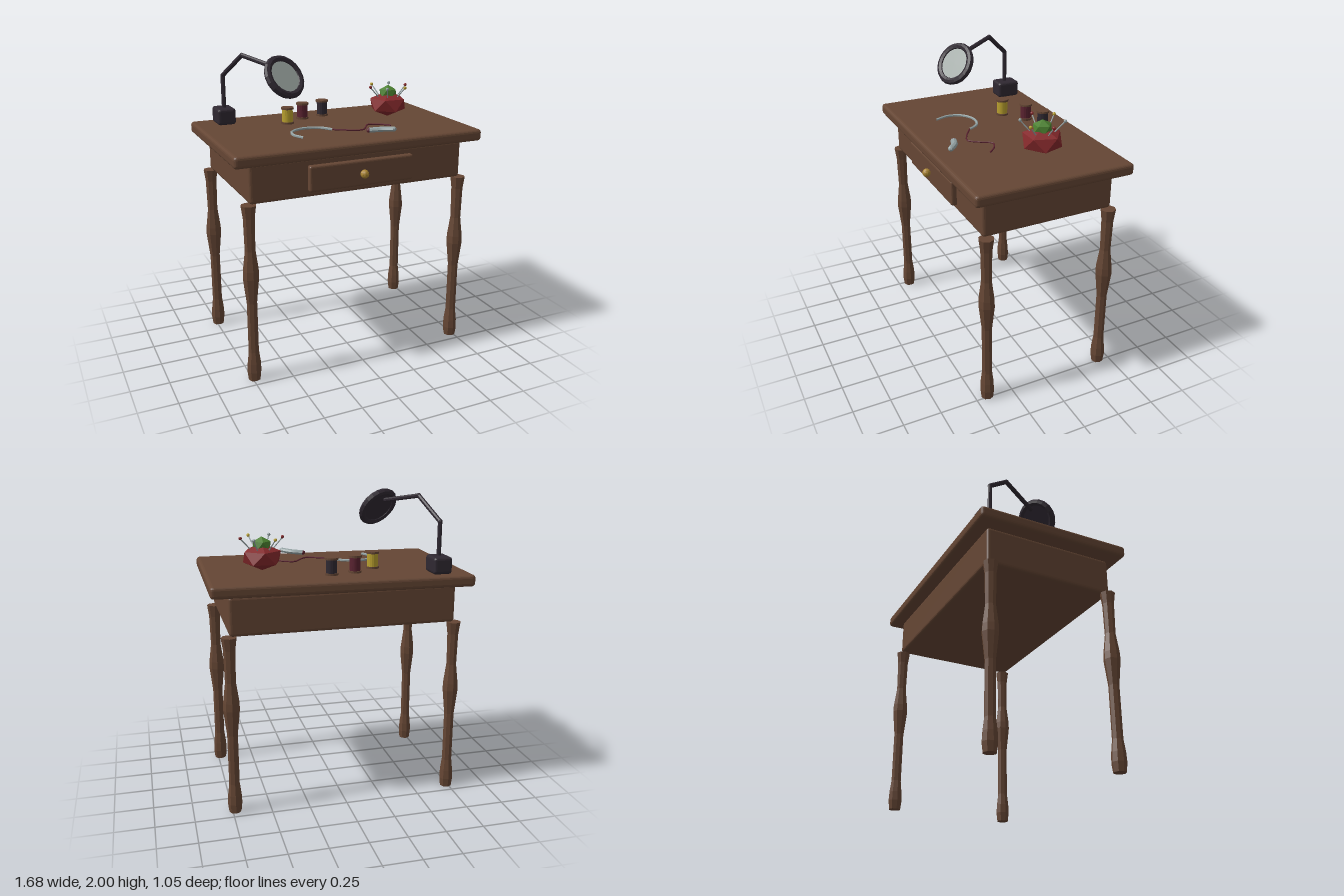
import * as THREE from 'three';
import { RoundedBoxGeometry } from 'three/addons/geometries/RoundedBoxGeometry.js';

const V = (x, y, z) => new THREE.Vector3(x, y, z);

function material(name, color, flat = true) {
  const m = new THREE.MeshStandardMaterial({ color, flatShading: flat });
  m.name = name;
  return m;
}

// Low-poly ball with a vertex at each pole
function facetedBall(rx, ry) {
  const g = new THREE.IcosahedronGeometry(1, 0);
  g.rotateZ(-Math.atan(2 / (1 + Math.sqrt(5))));
  g.rotateY(Math.PI / 2);
  return g.scale(rx, ry, rx);
}

export function createModel() {
  const model = new THREE.Group();
  model.name = 'sewingTable';
  const mats = {
    wood: material('wood', 0x654634),
    brass: material('brass', 0xa98432),
    charcoal: material('charcoal', 0x2f2831),
    glass: material('glass', 0x9ca5a1),
    steel: material('steel', 0x93a1a2),
    red: material('red fabric', 0x84282b),
    green: material('green leaf', 0x4b8030),
    yellow: material('yellow thread', 0xb9a02e),
    maroon: material('maroon thread', 0x5a2230),
  };

  function add(name, geo, mat, x = 0, y = 0, z = 0, parent = model) {
    const m = new THREE.Mesh(geo, mat);
    m.name = name;
    m.position.set(x, y, z);
    parent.add(m);
    return m;
  }
  function rod(name, a, b, r, mat, parent = model) {
    const d = b.clone().sub(a);
    const m = add(name, new THREE.CylinderGeometry(r, r, d.length(), 8), mat, 0, 0, 0, parent);
    m.position.copy(a).add(b).multiplyScalar(0.5);
    m.quaternion.setFromUnitVectors(V(0, 1, 0), d.normalize());
    return m;
  }
  function tube(name, pts, r, mat, sides = 6) {
    const curve = new THREE.CatmullRomCurve3(pts);
    return add(name, new THREE.TubeGeometry(curve, 24, r, sides), mat);
  }

  // Table top, slightly askew, and apron
  const top = add('tableTop', new RoundedBoxGeometry(1.675, 0.076, 1.04, 2, 0.022), mats.wood, 0, 1.472, 0);
  top.rotation.set(0, -0.009, 0.005);
  add('apron', new RoundedBoxGeometry(1.465, 0.25, 0.88, 2, 0.02), mats.wood, -0.002, 1.308, 0);

  // Drawer with knob
  add('drawerFront', new RoundedBoxGeometry(0.715, 0.166, 0.06, 2, 0.014), mats.wood, -0.003, 1.304, 0.445);
  add('knobStem', new THREE.CylinderGeometry(0.014, 0.014, 0.03, 8).rotateX(Math.PI / 2), mats.brass, -0.003, 1.305, 0.482);
  add('knob', new THREE.SphereGeometry(0.028, 10, 8), mats.brass, -0.003, 1.305, 0.498);

  // Turned legs
  const legProfile = [[0, 0], [0.04, 0], [0.047, 0.06], [0.044, 0.12], [0.034, 0.2], [0.034, 0.54],
    [0.053, 0.71], [0.051, 0.76], [0.034, 0.89], [0.038, 1.1], [0.049, 1.18], [0, 1.18]]
    .map(([r, y]) => new THREE.Vector2(r, y));
  const legGeo = new THREE.LatheGeometry(legProfile, 8);
  for (const x of [-0.737, 0.733]) {
    for (const z of [-0.42, 0.42]) add('leg', legGeo, mats.wood, x, 0, z);
  }

  // Magnifier lamp
  const lamp = new THREE.Group();
  lamp.name = 'magnifierLamp';
  model.add(lamp);
  add('lampBase', new RoundedBoxGeometry(0.125, 0.11, 0.16, 2, 0.02), mats.charcoal, -0.633, 1.56, -0.383, lamp);
  const joints = [V(-0.633, 1.6, -0.375), V(-0.633, 1.83, -0.375), V(-0.547, 1.978, -0.21), V(-0.41, 1.925, 0.06)];
  for (let i = 0; i < 3; i++) rod('lampArm', joints[i], joints[i + 1], 0.015, mats.charcoal, lamp);
  for (let i = 1; i < 3; i++) {
    add('armJoint', new THREE.SphereGeometry(0.016, 8, 6), mats.charcoal, ...joints[i].toArray(), lamp);
  }
  const head = new THREE.Group();
  head.name = 'lampHead';
  head.position.set(-0.38, 1.875, 0.12);
  head.quaternion.setFromUnitVectors(V(0, 0, 1), V(0.32, 0.54, 0.78).normalize());
  lamp.add(head);
  add('lampRim', new THREE.TorusGeometry(0.123, 0.024, 8, 20), mats.charcoal, 0, 0, 0, head);
  add('lens', new THREE.CylinderGeometry(0.115, 0.115, 0.008, 20).rotateX(Math.PI / 2), mats.glass, 0, 0, 0.006, head);
  add('lampBack', new THREE.CylinderGeometry(0.115, 0.115, 0.012, 20).rotateX(Math.PI / 2), mats.charcoal, 0, 0, -0.006, head);

  // Thread spools
  const spools = [[-0.255, -0.17, mats.yellow], [-0.105, -0.275, mats.maroon], [0.06, -0.315, mats.charcoal]];
  for (const [x, z, mat] of spools) {
    const flange = new THREE.CylinderGeometry(0.043, 0.043, 0.013, 16);
    add('spoolBottom', flange, mats.wood, x, 1.518, z);
    add('spoolThread', new THREE.CylinderGeometry(0.036, 0.036, 0.088, 16), mat, x, 1.567, z);
    add('spoolTop', flange, mats.wood, x, 1.616, z);
  }

  // Pincushion with leaf crown and six pins
  const cushion = new THREE.Group();
  cushion.name = 'pincushion';
  cushion.position.set(0.462, 0, -0.087);
  model.add(cushion);
  add('cushion', facetedBall(0.138, 0.088), mats.red, 0, 1.605, 0, cushion);
  add('leafCrown', facetedBall(0.066, 0.055), mats.green, 0, 1.68, 0, cushion);
  const pinMats = [mats.red, mats.yellow, mats.steel];
  for (let i = 0; i < 6; i++) {
    const c = Math.cos(i * Math.PI / 3), s = Math.sin(i * Math.PI / 3);
    rod('pin', V(0.06 * c, 1.64, 0.06 * s), V(0.136 * c, 1.725, 0.136 * s), 0.004, mats.steel, cushion);
    add('pinHead', new THREE.SphereGeometry(0.011, 8, 6), pinMats[i % 3], 0.136 * c, 1.727, 0.136 * s, cushion);
  }

  // Curved needle with trailing thread
  const onTable = (pts, y) => pts.map(([x, z]) => V(x, y, z));
  tube('curvedNeedle', onTable([[-0.325, 0.295], [-0.357, 0.2], [-0.33, 0.11], [-0.24, 0.058],
    [-0.13, 0.08], [-0.07, 0.16]], 1.522), 0.009, mats.steel);
  tube('looseThread', onTable([[-0.07, 0.16], [0.02, 0.22], [0.1, 0.248], [0.15, 0.195],
    [0.205, 0.122], [0.27, 0.145], [0.335, 0.205]], 1.522), 0.005, mats.maroon);

  // Small curved tool with a maroon tip
  const tool = tube('curvedTool', [V(0.1, 0, 0.345), V(0.17, 0.006, 0.37), V(0.235, 0.014, 0.42)], 0.021, mats.steel, 8);
  tool.scale.y = 0.8;
  tool.position.y = 1.54;
  for (const [mat, p, r] of [[mats.maroon, [0.1, 1.54, 0.345], 0.021], [mats.steel, [0.235, 1.551, 0.42], 0.021]]) {
    add('toolEnd', new THREE.SphereGeometry(r, 8, 6).scale(0.9, 0.78, 0.9), mat, ...p);
  }

  return model;
}
